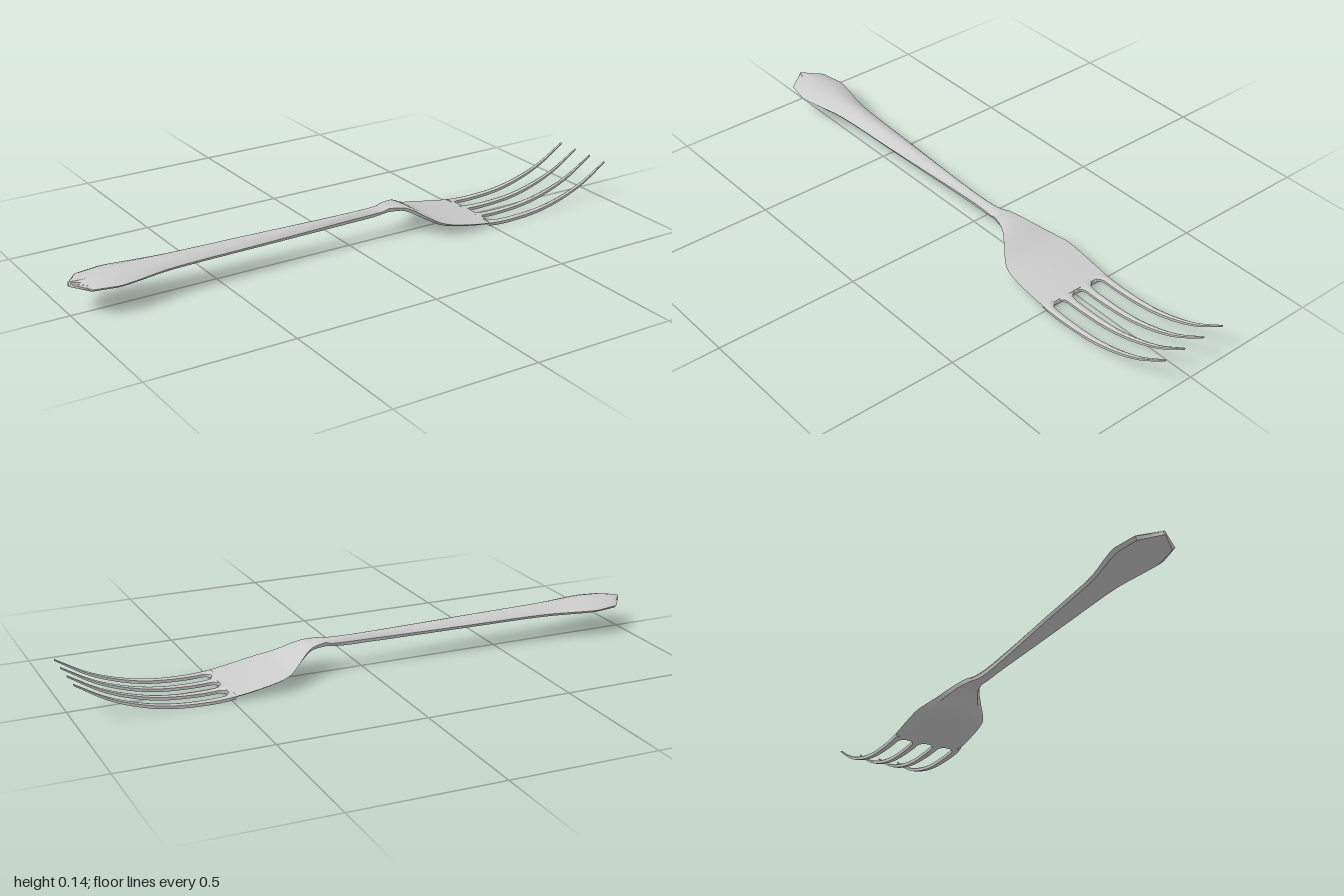
import * as THREE from 'three';
import { toCreasedNormals } from 'three/addons/utils/BufferGeometryUtils.js';

const material = new THREE.MeshStandardMaterial({ color: 0xcccccc });

// Smooth interpolation through rows of [x, value, value, ...]
function sample(rows, x) {
  let i = 0;
  while (i < rows.length - 2 && x > rows[i + 1][0]) i++;
  const a = rows[i], b = rows[i + 1], h = b[0] - a[0];
  const p = rows[i - 1] || a, q = rows[i + 2] || b;
  const t = (x - a[0]) / h, t2 = t * t, t3 = t2 * t;
  return a.slice(1).map((v, k) => {
    const j = k + 1;
    const ma = (b[j] - p[j]) / (b[0] - p[0]), mb = (q[j] - a[j]) / (q[0] - a[0]);
    return (2 * t3 - 3 * t2 + 1) * v + (t3 - 2 * t2 + t) * h * ma
      + (3 * t2 - 2 * t3) * b[j] + (t3 - t2) * h * mb;
  });
}

// Cross-section with a domed top, a thin side edge and a flat underside
function section({ x, z0, z1, top, edge, bottom }) {
  const mid = (z0 + z1) / 2, w = (z1 - z0) / 2, ring = [];
  for (let i = 0; i <= 10; i++) {
    const t = -Math.cos((i / 10) * Math.PI);
    ring.push([x, edge + (top - edge) * (1 - t * t), mid + t * w]);
  }
  for (const t of [0.85, 0.4, -0.4, -0.85]) ring.push([x, bottom, mid + t * w]);
  return ring;
}

// Closed skin over a row of cross-sections running along +x
function loft(name, stations) {
  const rings = stations.map(section), n = rings[0].length, last = (rings.length - 1) * n;
  const index = [];
  for (let i = 0; i < rings.length - 1; i++) {
    for (let j = 0; j < n; j++) {
      const a = i * n + j, b = i * n + (j + 1) % n;
      index.push(a, b, a + n, b, b + n, a + n);
    }
  }
  for (let j = 1; j < n - 1; j++) index.push(0, j + 1, j, last, last + j, last + j + 1);
  const geometry = new THREE.BufferGeometry();
  geometry.setAttribute('position', new THREE.Float32BufferAttribute(rings.flat(2), 3));
  geometry.setIndex(index);
  const mesh = new THREE.Mesh(toCreasedNormals(geometry, 0.6), material);
  mesh.name = name;
  return mesh;
}

// Handle: x, half width, top, side edge, bottom
const HANDLE = [
  [-1, 0.004, 0.113, 0.107, 0.098],
  [-0.95, 0.07, 0.122, 0.101, 0.091],
  [-0.87, 0.085, 0.125, 0.1, 0.09],
  [-0.8, 0.075, 0.125, 0.1, 0.09],
  [-0.7, 0.054, 0.124, 0.1, 0.09],
  [-0.6, 0.046, 0.123, 0.1, 0.09],
  [-0.4, 0.038, 0.121, 0.099, 0.089],
  [-0.2, 0.028, 0.118, 0.098, 0.087],
  [0, 0.019, 0.116, 0.098, 0.086],
  [0.08, 0.021, 0.116, 0.1, 0.088],
  [0.14, 0.029, 0.117, 0.106, 0.097],
];
// Neck and plate outline: x, half width
const PLATE = [
  [0.14, 0.029], [0.2, 0.048], [0.25, 0.082], [0.29, 0.111],
  [0.325, 0.126], [0.4, 0.131], [0.5, 0.13],
];
// Bend of the head: x, top, bottom
const BEND = [
  [0.14, 0.117, 0.097], [0.19, 0.112, 0.095], [0.22, 0.1, 0.083], [0.26, 0.076, 0.06],
  [0.3, 0.056, 0.041], [0.4, 0.034, 0.019], [0.5, 0.019, 0.004], [0.58, 0.015, 0],
  [0.7, 0.022, 0.007], [0.8, 0.043, 0.029], [0.9, 0.079, 0.068], [1, 0.136, 0.13],
];
const SLOT_X = 0.5, PITCH = 0.0787, SLOT_R = 0.025;

function headStation(x, z0, z1) {
  const [top, bottom] = sample(BEND, x);
  // The plate is nearly flat on top with thin bevelled sides
  return { x, z0, z1, top, bottom, edge: bottom + (top - bottom) * 0.72 };
}

function createBody() {
  const stations = [];
  for (let i = 0; i < HANDLE.length - 1; i++) {
    const a = HANDLE[i][0], b = HANDLE[i + 1][0];
    const steps = i < 2 ? 1 : 3; // the pointed end stays faceted
    for (let k = 0; k < steps; k++) {
      const x = a + ((b - a) * k) / steps;
      const [w, top, edge, bottom] = sample(HANDLE, x);
      stations.push({ x, z0: -w, z1: w, top, edge, bottom });
    }
  }
  for (let i = 0; i <= 32; i++) {
    const x = 0.14 + (SLOT_X - 0.14) * (i / 32);
    const [w] = sample(PLATE, x);
    stations.push(headStation(x, -w, w));
  }
  return loft('handleAndPlate', stations);
}

// Each tine starts as a quarter of the plate; its root curves round the slot ends
function createTine(k) {
  const centre = (k - 1.5) * PITCH, stations = [];
  const side = (x, s) => {
    const taper = THREE.MathUtils.clamp((x - SLOT_X) / (1 - SLOT_X), 0, 1);
    const outer = (k === 0 && s < 0) || (k === 3 && s > 0);
    if (outer) return centre + s * (0.012 - 0.008 * taper);
    const d = Math.max(0, SLOT_R - (x - SLOT_X));
    const open = Math.sqrt(Math.max(0, SLOT_R ** 2 - d * d));
    const half = PITCH / 2 - open - 0.0015 * Math.min(1, open / SLOT_R);
    return centre + s * (half - 0.0095 * taper);
  };
  const xs = [-0.012];
  for (let i = 0; i <= 6; i++) xs.push(SLOT_R * (1 - Math.cos((i / 6) * Math.PI / 2)));
  for (let i = 1; i <= 24; i++) xs.push(SLOT_R + (0.5 - SLOT_R) * (i / 24));
  for (const dx of xs) stations.push(headStation(SLOT_X + dx, side(SLOT_X + dx, -1), side(SLOT_X + dx, 1)));
  return loft('tine' + (k + 1), stations);
}

export function createModel() {
  const fork = new THREE.Group();
  fork.name = 'fork';
  fork.add(createBody());
  for (let k = 0; k < 4; k++) fork.add(createTine(k));
  return fork;
}
